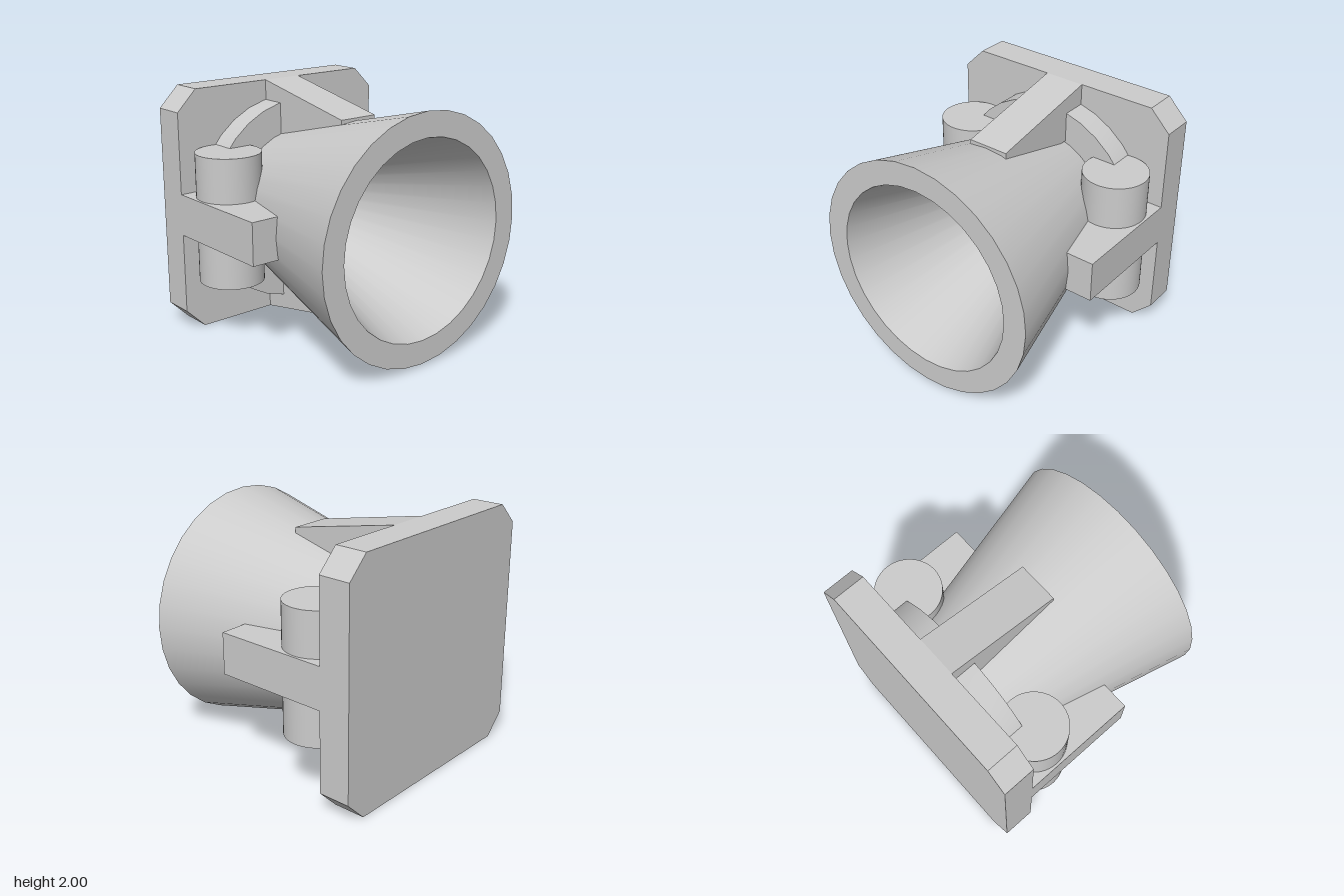
import * as THREE from 'three';
import { toCreasedNormals } from 'three/addons/utils/BufferGeometryUtils.js';

const material = new THREE.MeshStandardMaterial({ color: 0xcccccc });
const PLATE_Z = -0.735; // front face of the plate
const AXIS_Y = 1;       // height of the horn axis

const polygon = (points) => new THREE.Shape(points.map(([x, y]) => new THREE.Vector2(x, y)));

// Revolve a [radius, z] profile around the horizontal horn axis
function revolve(profile) {
  const points = profile.map(([r, z]) => new THREE.Vector2(r, z));
  const geometry = new THREE.LatheGeometry(points, 32).rotateX(Math.PI / 2);
  return toCreasedNormals(geometry, 0.5).translate(0, AXIS_Y, 0);
}

export function createModel() {
  const group = new THREE.Group();
  const add = (name, geometry) => {
    const mesh = new THREE.Mesh(geometry, material);
    mesh.name = name;
    group.add(mesh);
    return mesh;
  };

  // Square back plate with chamfered corners
  const c = 0.83;
  const plate = polygon([[-c, -1], [c, -1], [1, -c], [1, c], [c, 1], [-c, 1], [-1, c], [-1, -c]]);
  add('backPlate', new THREE.ExtrudeGeometry(plate, { depth: 0.265, bevelEnabled: false })
    .translate(0, AXIS_Y, -1));

  // Hollow flared horn, its floor closed by the plate
  add('horn', revolve([[0.55, PLATE_Z], [0.98, 1], [0.785, 1], [0.225, PLATE_Z]]));

  // Collar around the root of the horn
  add('collar', revolve([[0.85, PLATE_Z], [0.85, -0.535], [0.5, -0.535], [0.5, PLATE_Z]]));

  // Tapered ribs above and below, slightly off centre
  for (const s of [1, -1]) {
    const profile = [[-PLATE_Z, 0.58], [-PLATE_Z, 1], [-0.23, 0.81], [-0.23, 0.58]]
      .map(([u, v]) => [u, AXIS_Y + s * v]);
    add(s > 0 ? 'topRib' : 'bottomRib',
      new THREE.ExtrudeGeometry(polygon(profile), { depth: 0.34, bevelEnabled: false })
        .rotateY(Math.PI / 2).translate(-0.15, 0, 0));
  }

  // Straight side ribs, each crossed by an upright pin
  for (const s of [1, -1]) {
    const side = s > 0 ? 'left' : 'right';
    add(side + 'Rib', new THREE.BoxGeometry(0.42, 0.34, 0.965)
      .translate(s * 0.79, AXIS_Y, PLATE_Z + 0.4825));
    add(side + 'Pin', new THREE.CylinderGeometry(0.263, 0.263, 1.06, 48)
      .translate(s * 0.718, AXIS_Y, -0.47));
  }

  return group;
}
